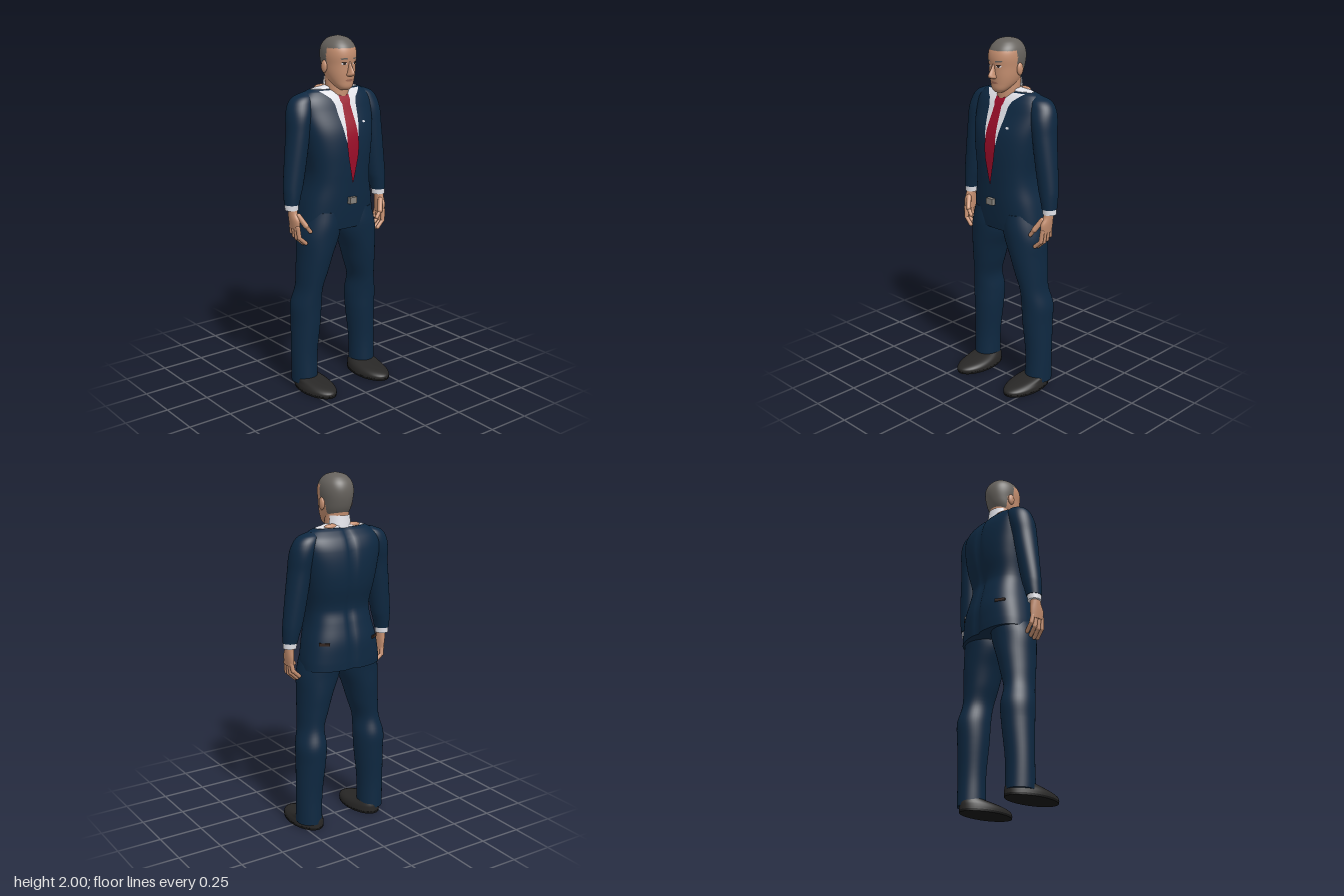
import * as THREE from 'three';

const mat = (name, color, side = THREE.FrontSide) => {
  const m = new THREE.MeshStandardMaterial({ color, side });
  m.name = name;
  return m;
};

// Section rows are [y, centre x, half width, front z, back z], blended with cubics.
function at(rows, y) {
  let i = 0;
  while (i < rows.length - 2 && y > rows[i + 1][0]) i++;
  const a = rows[i], b = rows[i + 1], h = b[0] - a[0];
  const t = THREE.MathUtils.clamp((y - a[0]) / h, 0, 1);
  const p = rows[i - 1] || a, n = rows[i + 2] || b;
  return a.map((v, k) => {
    if (k === 0) return y;
    const m0 = h * (b[k] - p[k]) / (b[0] - p[0]), m1 = h * (n[k] - v) / (n[0] - a[0]);
    const t2 = t * t, t3 = t2 * t;
    return v * (2 * t3 - 3 * t2 + 1) + m0 * (t3 - 2 * t2 + t) + b[k] * (3 * t2 - 2 * t3) + m1 * (t3 - t2);
  });
}

// Closed body through the sections; power squares off the ovals.
function loft(rows, { seg = 40, steps = 5, power = 2, bend } = {}) {
  const pos = [], idx = [], ys = [rows[0][0]];
  for (let i = 1; i < rows.length; i++)
    for (let k = 1; k <= steps; k++) ys.push(THREE.MathUtils.lerp(rows[i - 1][0], rows[i][0], k / steps));
  const sp = (v) => Math.sign(v) * Math.abs(v) ** (2 / power);
  const ring = (y) => {
    const [, cx, rx, zf, zb] = at(rows, y);
    for (let j = 0; j < seg; j++) {
      const a = j / seg * Math.PI * 2;
      const p = [cx + Math.max(rx, 0.001) * sp(Math.cos(a)), y, (zf + zb) / 2 + (zf - zb) / 2 * sp(Math.sin(a))];
      if (bend) bend(p, Math.sin(a));
      pos.push(...p);
    }
    return [cx, y, (zf + zb) / 2];
  };
  ys.forEach(ring);
  for (let i = 0; i < ys.length - 1; i++)
    for (let j = 0; j < seg; j++) {
      const a = i * seg + j, b = i * seg + (j + 1) % seg;
      idx.push(a, a + seg, b, b, a + seg, b + seg);
    }
  for (const top of [false, true]) {
    const s = pos.length / 3;
    pos.push(...ring(top ? ys[ys.length - 1] : ys[0]));
    for (let j = 0; j < seg; j++) {
      const a = s + j, b = s + (j + 1) % seg;
      idx.push(s + seg, top ? b : a, top ? a : b);
    }
  }
  return finish(pos, idx);
}

function finish(pos, idx) {
  const g = new THREE.BufferGeometry();
  g.setAttribute('position', new THREE.Float32BufferAttribute(pos, 3));
  g.setIndex(idx);
  g.computeVertexNormals();
  return g;
}

// Thin skin on the front of a loft; outline rows are [y, x0, x1].
function patch(rows, outline, off, power = 2) {
  const pos = [], idx = [], cols = 10, steps = 8;
  let n = 0;
  for (let i = 0; i < outline.length - 1; i++)
    for (let k = i ? 1 : 0; k <= steps; k++, n++) {
      const [y, x0, x1] = outline[i].map((v, q) => THREE.MathUtils.lerp(v, outline[i + 1][q], k / steps));
      const [, cx, rx, zf, zb] = at(rows, y);
      for (let j = 0; j <= cols; j++) {
        const x = THREE.MathUtils.lerp(x0, x1, j / cols), u = Math.min(1, Math.abs((x - cx) / rx));
        pos.push(x, y, (zf + zb) / 2 + (zf - zb) / 2 * (1 - u ** power) ** (1 / power) + off);
      }
    }
  for (let i = 0; i < n - 1; i++)
    for (let j = 0; j < cols; j++) {
      const a = i * (cols + 1) + j, c = a + cols + 1;
      idx.push(a, a + 1, c, a + 1, c + 1, c);
    }
  return finish(pos, idx);
}

export function createModel() {
  const model = new THREE.Group();
  model.name = 'suitedMan';
  const navy = mat('navyCloth', 0x0e2841), skin = mat('skin', 0xc58f70), hair = mat('greyHair', 0x66625d);
  const white = mat('whiteShirt', 0xe2e2e8, THREE.DoubleSide), red = mat('redTie', 0x9a0c28);
  const shoe = mat('shoeLeather', 0x282726), sole = mat('shoeSole', 0x161616);
  const metal = mat('buckleMetal', 0x86827c), brown = mat('darkBrown', 0x33241e), lip = mat('lips', 0xa06a56);
  const add = (name, geo, m, x = 0, y = 0, z = 0) => {
    const mesh = new THREE.Mesh(geo, m);
    mesh.name = name;
    mesh.position.set(x, y, z);
    model.add(mesh);
    return mesh;
  };
  const capsule = (name, a, b, r, m) => {
    const A = new THREE.Vector3(...a), B = new THREE.Vector3(...b), d = B.clone().sub(A);
    const mesh = add(name, new THREE.CapsuleGeometry(r, d.length(), 5, 12), m);
    mesh.position.copy(A.add(B).multiplyScalar(0.5));
    mesh.quaternion.setFromUnitVectors(new THREE.Vector3(0, 1, 0), d.normalize());
  };
  const oval = (name, m, p, s) => add(name, new THREE.SphereGeometry(1, 24, 16), m, ...p).scale.set(...s);
  const flip = (outline, s) => outline.map(([y, a, b]) => s > 0 ? [y, a, b] : [y, -b, -a]);

  // Jacket, with a shallow groove down the back
  const torso = [[0.945, 0, 0.236, 0.092, -0.188], [1, 0, 0.232, 0.1, -0.19], [1.1, 0, 0.215, 0.11, -0.188],
    [1.2, 0, 0.191, 0.116, -0.168], [1.28, 0, 0.186, 0.12, -0.152], [1.4, 0, 0.205, 0.121, -0.178],
    [1.5, 0, 0.222, 0.108, -0.187], [1.6, 0, 0.235, 0.07, -0.178], [1.66, 0, 0.228, 0.045, -0.155],
    [1.7, 0, 0.19, 0.018, -0.12], [1.715, 0, 0.16, 0, -0.1]];
  add('jacket', loft(torso, {
    seg: 96, power: 2.5,
    bend: (p, s) => { if (s < 0) p[2] += 0.013 * Math.exp(-((p[0] / 0.02) ** 2)); },
  }), navy);

  // Shirt front, tie and lapel pin
  const shirt = [[1.38, 0.025], [1.47, 0.045], [1.58, 0.064], [1.64, 0.07], [1.67, 0.085], [1.71, 0.135]];
  add('shirtFront', patch(torso, shirt.map(([y, w]) => [y, -w, w]), 0.004, 2.5), white);
  const tie = [[1.21, 0.002], [1.35, 0.032], [1.42, 0.04], [1.5, 0.036], [1.64, 0.026], [1.655, 0.034], [1.685, 0.034]];
  add('tie', patch(torso, tie.map(([y, w]) => [y, -w, w]), 0.008, 2.5), red);
  add('lapelPin', patch(torso, [[1.53, 0.09, 0.108], [1.541, 0.09, 0.108]], 0.004, 2.5), white);
  add('beltBuckle', new THREE.BoxGeometry(0.048, 0.036, 0.03), metal, 0, 1.11, 0.118);

  // Open collar and neck
  add('shirtYoke', loft([[1.69, 0, 0.145, 0, -0.09], [1.717, 0, 0.153, 0.002, -0.097],
    [1.724, 0, 0.115, 0.005, -0.095], [1.732, 0, 0.065, 0.01, -0.08]]), white);
  add('neck', loft([[1.66, 0, 0.058, 0.044, -0.08], [1.72, 0, 0.066, 0.042, -0.08], [1.81, 0, 0.066, 0.04, -0.088]]), skin);
  add('backCollar', new THREE.CylinderGeometry(0.07, 0.078, 0.065, 30, 1, true, Math.PI - 1.15, 2.3), white, 0, 1.745, -0.02)
    .scale.z = 1.05;

  // Head, with the hair split off by triangle position
  const head = [[1.713, 0, 0.026, 0.074, 0.03], [1.73, 0, 0.046, 0.086, 0], [1.76, 0, 0.066, 0.09, -0.055],
    [1.8, 0, 0.079, 0.094, -0.09], [1.85, 0, 0.086, 0.096, -0.11], [1.9, 0, 0.091, 0.1, -0.117],
    [1.94, 0, 0.086, 0.091, -0.11], [1.97, 0, 0.069, 0.068, -0.09], [1.99, 0, 0.043, 0.038, -0.06], [2, 0, 0.004, -0.006, -0.014]];
  const g = loft(head, { seg: 96, steps: 8, power: 2.15 });
  const P = g.attributes.position, face = [], crown = [];
  for (let i = 0; i < g.index.count; i += 3) {
    const t = [0, 1, 2].map((k) => g.index.getX(i + k));
    const y = t.reduce((s, v) => s + P.getY(v) / 3, 0), z = t.reduce((s, v) => s + P.getZ(v) / 3, 0);
    const isHair = y > 1.938 || (z < 0.005 && y > 1.86) || (z < -0.035 && y > 1.785);
    (isHair ? crown : face).push(...t);
  }
  g.setIndex([...face, ...crown]);
  g.addGroup(0, face.length, 0);
  g.addGroup(face.length, crown.length, 1);
  add('head', g, [skin, hair]);

  // Face details
  add('nose', loft([[1.788, 0, 0.012, 0.108, 0.07], [1.797, 0, 0.02, 0.127, 0.07], [1.81, 0, 0.016, 0.132, 0.07],
    [1.84, 0, 0.01, 0.114, 0.07], [1.868, 0, 0.008, 0.098, 0.07]], { seg: 24 }), skin);
  add('mouth', patch(head, [[1.761, -0.014, 0.014], [1.767, -0.026, 0.026], [1.773, -0.012, 0.012]], 0.003), lip);

  for (const s of [1, -1]) {
    const eye = [[1.85, 0.028, 0.04], [1.857, 0.02, 0.049], [1.864, 0.028, 0.042]];
    add('eyeWhite', patch(head, flip(eye, s), 0.003), white);
    add('iris', patch(head, flip([[1.85, 0.031, 0.037], [1.857, 0.027, 0.042], [1.865, 0.03, 0.039]], s), 0.005), brown);
    add('upperLid', patch(head, flip([[1.861, 0.02, 0.05], [1.866, 0.026, 0.046]], s), 0.006), brown);
    add('eyebrow', patch(head, flip([[1.879, 0.016, 0.05], [1.887, 0.02, 0.054]], s), 0.004), hair);
    oval('ear', skin, [s * 0.09, 1.838, -0.014], [0.013, 0.034, 0.021]);
    oval('neckSide', skin, [s * 0.068, 1.722, -0.073], [0.044, 0.014, 0.02]);

    // Sleeve and cuff
    const side = (rows) => rows.map(([y, cx, ...r]) => [y, s * cx, ...r]);
    add('sleeve', loft(side([[1.105, 0.304, 0.041, 0.017, -0.07], [1.15, 0.299, 0.047, 0.02, -0.078],
      [1.2, 0.291, 0.055, 0.022, -0.085], [1.3, 0.276, 0.06, 0.026, -0.095], [1.4, 0.262, 0.062, 0.03, -0.104],
      [1.5, 0.249, 0.063, 0.032, -0.112], [1.58, 0.236, 0.07, 0.03, -0.125], [1.64, 0.218, 0.073, 0.015, -0.125],
      [1.68, 0.2, 0.058, -0.005, -0.11], [1.703, 0.18, 0.02, -0.04, -0.075]])), navy);
    add('shirtCuff', loft(side([[1.075, 0.306, 0.037, 0.012, -0.064], [1.12, 0.304, 0.038, 0.014, -0.066]])), white);

    // Hand with curled fingers
    add('palm', loft(side([[0.972, 0.3, 0.016, 0.034, -0.048], [1.02, 0.303, 0.021, 0.036, -0.052],
      [1.06, 0.305, 0.023, 0.016, -0.05], [1.1, 0.306, 0.024, 0.008, -0.05]])), skin);
    for (let i = 0; i < 4; i++) {
      const z = 0.03 - i * 0.024, low = [0.884, 0.88, 0.888, 0.905][i];
      capsule('fingerBase', [s * 0.302, 0.985, z * 0.85], [s * 0.296, low + 0.04, z], 0.0125, skin);
      capsule('fingerTip', [s * 0.296, low + 0.04, z], [s * 0.256, low + 0.004, z + 0.004], 0.011, skin);
    }
    capsule('thumbBase', [s * 0.29, 1.045, 0.015], [s * 0.262, 0.99, 0.046], 0.015, skin);
    capsule('thumbTip', [s * 0.262, 0.99, 0.046], [s * 0.236, 0.955, 0.05], 0.011, skin);

    // Trouser leg
    add('trouserLeg', loft(side([[0.035, 0.21, 0.073, 0.027, -0.136], [0.2, 0.209, 0.075, 0.022, -0.135],
      [0.4, 0.197, 0.084, 0.034, -0.149], [0.5, 0.195, 0.086, 0.04, -0.154], [0.6, 0.186, 0.073, 0.052, -0.13],
      [0.7, 0.168, 0.086, 0.07, -0.135], [0.8, 0.151, 0.1, 0.086, -0.145], [0.9, 0.13, 0.121, 0.096, -0.15],
      [0.97, 0.118, 0.118, 0.1, -0.155], [1.05, 0.11, 0.1, 0.095, -0.145]])), navy);

    // Shoe
    add('shoe', loft(side([[0.01, 0.195, 0.089, 0.195, -0.135], [0.03, 0.195, 0.087, 0.19, -0.135],
      [0.048, 0.196, 0.08, 0.145, -0.134], [0.07, 0.205, 0.068, 0.03, -0.13]])), shoe);
    add('shoeSole', loft(side([[0, 0.195, 0.089, 0.194, -0.135], [0.012, 0.195, 0.09, 0.196, -0.136]])), sole);

    // Pocket slit
    add('pocketSlit', new THREE.BoxGeometry(0.06, 0.016, 0.009), brown, s * 0.163, 1.1, -0.153).rotation.y = s * 2.53;
  }
  return model;
}
